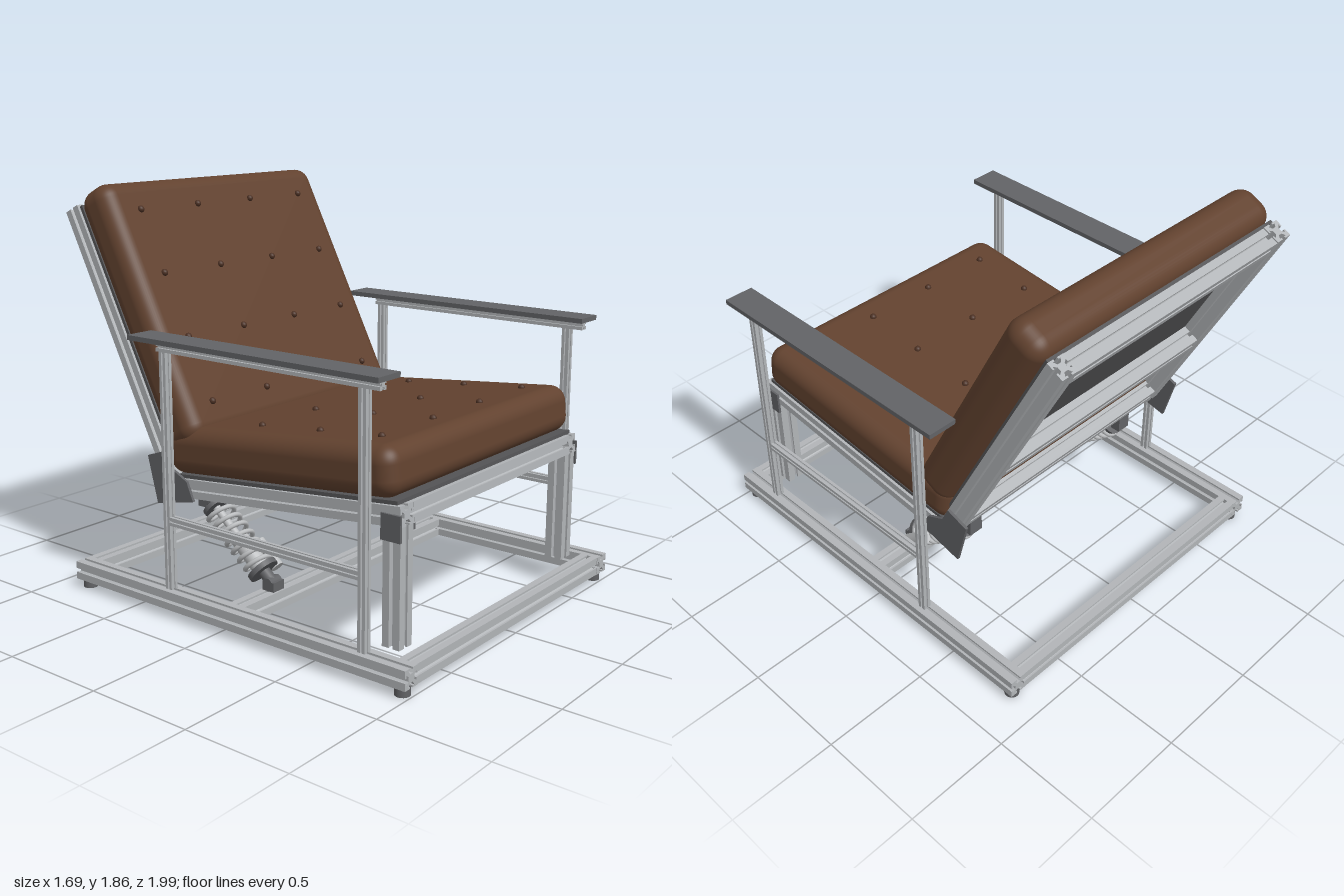
import * as THREE from 'three';
import { RoundedBoxGeometry } from 'three/addons/geometries/RoundedBoxGeometry.js';

const mat = (name, color) => Object.assign(new THREE.MeshStandardMaterial({ color }), { name });

// Slotted square rail section, built from one side turned four times
function slotShape(s) {
  const h = s / 2;
  const side = [[-h, h], [-0.11 * s, h], [-0.11 * s, 0.4 * s], [-0.24 * s, 0.4 * s],
    [-0.11 * s, 0.22 * s], [0.11 * s, 0.22 * s], [0.24 * s, 0.4 * s], [0.11 * s, 0.4 * s], [0.11 * s, h]];
  const pts = [];
  for (let k = 0; k < 4; k++) {
    const c = Math.round(Math.cos(k * Math.PI / 2)), n = Math.round(Math.sin(k * Math.PI / 2));
    for (const [x, y] of side) pts.push(new THREE.Vector2(x * c + y * n, -x * n + y * c));
  }
  return new THREE.Shape(pts.reverse());
}

class Helix extends THREE.Curve {
  constructor(radius, y0, y1, turns) {
    super();
    Object.assign(this, { radius, y0, y1, turns });
  }
  getPoint(t, target = new THREE.Vector3()) {
    const a = t * this.turns * Math.PI * 2;
    return target.set(this.radius * Math.cos(a), this.y0 + (this.y1 - this.y0) * t, this.radius * Math.sin(a));
  }
}

export function createModel() {
  const aluminium = mat('aluminium', 0xb2b5b8);
  const steel = mat('springSteel', 0xbcbec0);
  const dark = mat('darkGrey', 0x626366);
  const panelGrey = mat('panelGrey', 0x555557);
  const leather = mat('brownLeather', 0x62422f);
  const buttonBrown = mat('buttonBrown', 0x4c3124);

  const model = new THREE.Group();
  model.name = 'loungeChair';

  const add = (parent, name, geo, material, x = 0, y = 0, z = 0) => {
    const m = new THREE.Mesh(geo, material);
    m.name = name;
    m.position.set(x, y, z);
    parent.add(m);
    return m;
  };
  const box = (parent, name, material, w, h, d, x, y, z) =>
    add(parent, name, new THREE.BoxGeometry(w, h, d), material, x, y, z);
  const cyl = (parent, name, material, r, h, x, y, z) =>
    add(parent, name, new THREE.CylinderGeometry(r, r, h, 24), material, x, y, z);
  const rail = (parent, name, axis, size, length, x, y, z) => {
    const geo = new THREE.ExtrudeGeometry(slotShape(size), { depth: length, bevelEnabled: false });
    geo.translate(0, 0, -length / 2);
    if (axis === 'x') geo.rotateY(Math.PI / 2);
    if (axis === 'y') geo.rotateX(Math.PI / 2);
    return add(parent, name, geo, aluminium, x, y, z);
  };
  const group = (name, tilt = 0) => {
    const g = new THREE.Group();
    g.name = name;
    g.rotation.x = tilt;
    model.add(g);
    return g;
  };

  const S = 0.085;               // main rail size
  const columns = [-0.54, -0.18, 0.18, 0.54];

  // Base frame with feet
  const base = group('baseFrame');
  for (const s of [-1, 1]) {
    rail(base, 'baseSideRail', 'z', S, 1.885, s * 0.778, 0.0825, 0.0575);
    for (const z of [0.957, -0.842]) cyl(base, 'foot', dark, 0.033, 0.042, s * 0.775, 0.021, z);
  }
  for (const z of [0.955, 0.06, -0.842]) rail(base, 'baseCrossRail', 'x', S, 1.471, 0, 0.0825, z);

  // Front legs, corner plates and rear hinge plates
  const plate = new THREE.Shape([[-0.39, 0.722], [-0.5, 0.684], [-0.444, 0.47], [-0.225, 0.519],
    [-0.262, 0.604], [-0.353, 0.647]].map(([z, y]) => new THREE.Vector2(-z, y)));
  for (const s of [-1, 1]) {
    rail(model, 'frontLeg', 'y', S, 0.51, s * 0.647, 0.38, 0.835);
    box(model, 'frontCornerPlate', dark, 0.012, 0.11, 0.095, s * 0.696, 0.63, 0.837);
    const geo = new THREE.ExtrudeGeometry(plate, { depth: 0.014, bevelEnabled: false });
    geo.translate(0, 0, -0.007).rotateY(Math.PI / 2);
    add(model, 'hingePlate', geo, dark, s * 0.698, 0, 0);
  }

  // Seat: frame, panel, cushion and buttons, raised at the front
  const seat = group('seat', -0.096);
  for (const s of [-1, 1]) rail(seat, 'seatSideRail', 'z', S, 1.216, s * 0.65, 0.592, 0.333);
  for (const z of [0.9, 0.33, -0.235]) rail(seat, 'seatCrossRail', 'x', S, 1.215, 0, 0.592, z);
  box(seat, 'seatPanel', panelGrey, 1.36, 0.016, 1.2, 0, 0.643, 0.32);
  add(seat, 'seatCushion', new RoundedBoxGeometry(1.42, 0.216, 1.24, 6, 0.075), leather, 0, 0.758, 0.3);

  // Backrest: frame, panel, cushion and buttons, leaning backwards
  const back = group('backrest', -27 * Math.PI / 180);
  for (const s of [-1, 1]) rail(back, 'backSideRail', 'y', S, 1.314, s * 0.65, 1.337, -0.058);
  for (const y of [1.945, 1.21, 0.75]) rail(back, 'backCrossRail', 'x', S, 1.215, 0, y, -0.058);
  box(back, 'backPanel', panelGrey, 1.36, 1.2, 0.016, 0, 1.385, -0.008);
  add(back, 'backCushion', new RoundedBoxGeometry(1.43, 1.22, 0.2, 6, 0.075), leather, 0, 1.41, 0.1);

  const button = new THREE.SphereGeometry(0.016, 12, 8);
  for (const x of columns) {
    for (const z of [-0.2, 0.124, 0.445, 0.761]) add(seat, 'seatButton', button, buttonBrown, x, 0.868, z);
    for (const y of [0.952, 1.257, 1.562, 1.867]) add(back, 'backButton', button, buttonBrown, x, y, 0.202);
  }

  // Arms: posts, rails and flat tops
  for (const s of [-1, 1]) {
    const arm = group(s > 0 ? 'leftArm' : 'rightArm');
    for (const z of [0.77, -0.297]) rail(arm, 'armPost', 'y', 0.037, 1.07, s * 0.778, 0.66, z);
    rail(arm, 'armTopRail', 'z', 0.04, 1.185, s * 0.778, 1.213, 0.262);
    rail(arm, 'armLowerRail', 'z', 0.037, 1.03, s * 0.778, 0.443, 0.237);
    box(arm, 'armrest', dark, 0.14, 0.022, 1.335, s * 0.775, 1.245, 0.213);
  }

  // Coil shocks between the base cross rail and the seat
  const low = new THREE.Vector2(0.055, 0.155), high = new THREE.Vector2(-0.32, 0.47);
  const L = low.distanceTo(high);
  for (const x of [-0.505, 0.505]) {
    const shock = group('shock', Math.atan2(high.x - low.x, high.y - low.y));
    shock.position.set(x, low.y, low.x);
    for (const y of [0, L]) cyl(shock, 'shockEye', dark, 0.028, 0.07, 0, y, 0).rotation.z = Math.PI / 2;
    cyl(shock, 'shockLowerMount', dark, 0.028, 0.06, 0, 0.035, 0);
    cyl(shock, 'shockLowerCap', dark, 0.072, 0.025, 0, 0.072, 0);
    cyl(shock, 'shockBody', steel, 0.042, 0.19, 0, 0.17, 0);
    cyl(shock, 'shockRod', steel, 0.018, 0.22, 0, 0.36, 0);
    cyl(shock, 'shockUpperCap', dark, 0.06, 0.02, 0, 0.44, 0);
    add(shock, 'spring', new THREE.TubeGeometry(new Helix(0.062, 0.09, 0.425, 7), 168, 0.011, 8), steel);
    cyl(shock, 'reservoir', steel, 0.03, 0.15, 0.085, 0.13, 0);
    box(shock, 'reservoirLink', dark, 0.06, 0.03, 0.03, 0.055, 0.085, 0);
    box(model, 'shockBaseBracket', dark, 0.07, 0.045, 0.065, x, 0.145, 0.06);
    box(model, 'shockSeatBracket', dark, 0.07, 0.1, 0.05, x, 0.485, -0.33);
  }
  return model;
}
